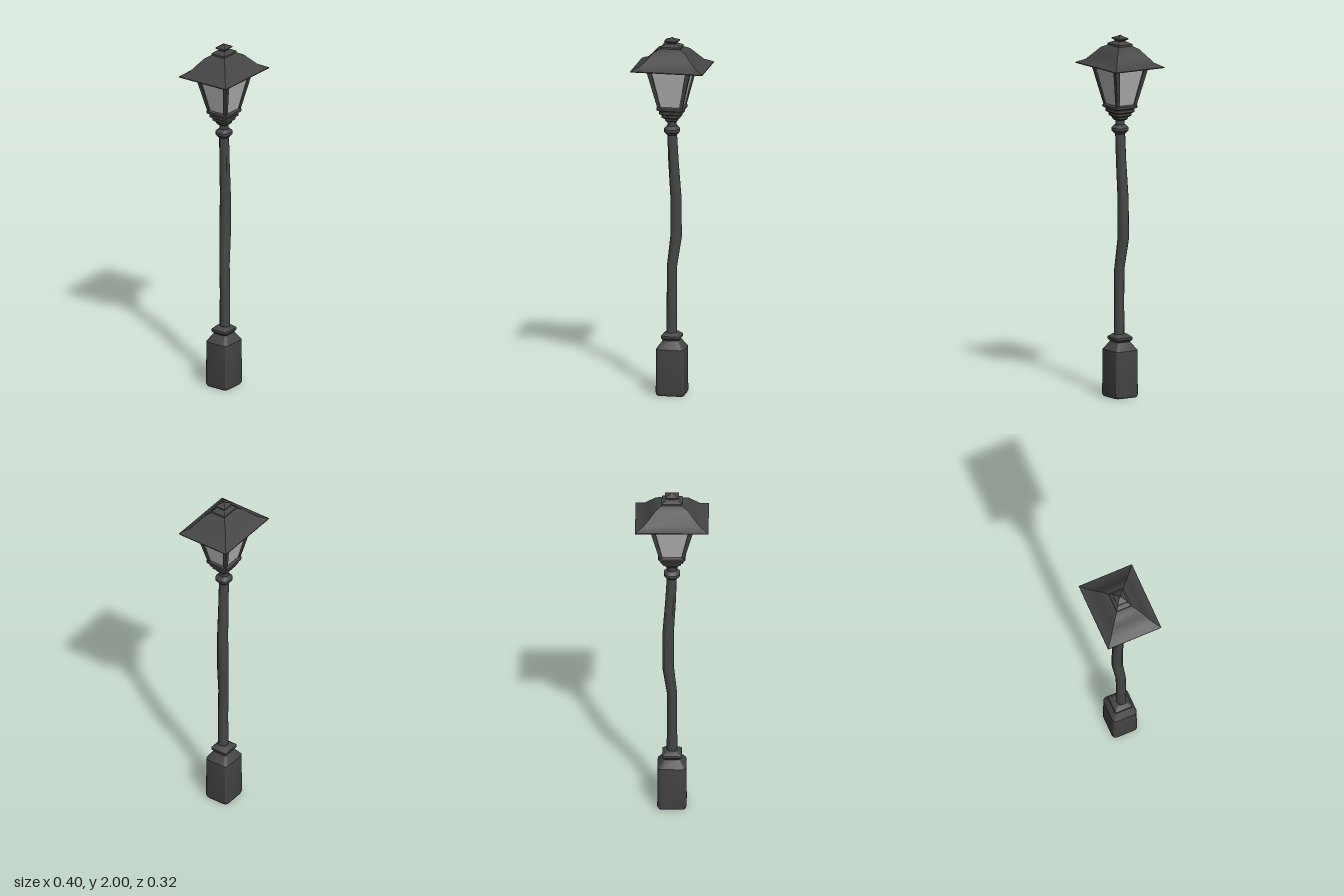
import * as THREE from 'three';
import { toCreasedNormals } from 'three/addons/utils/BufferGeometryUtils.js';

// One horizontal cross-section: a rectangle with corners rounded by a fraction of its half size
function section([y, hx, hz = hx, cx = 0, cz = 0], round, segs) {
  const r = Math.min(hx, hz) * round;
  const points = [];
  [[1, -1], [-1, -1], [-1, 1], [1, 1]].forEach(([sx, sz], corner) => {
    for (let i = 0; i <= segs; i++) {
      const a = (corner + (segs ? i / segs : 0.5)) * Math.PI / 2;
      points.push([
        cx + sx * (hx - r) + Math.cos(a) * r, y,
        cz + sz * (hz - r) - Math.sin(a) * r
      ]);
    }
  });
  return points;
}

// Skin a stack of sections [y, halfX, halfZ, centreX, centreZ] from bottom to top
function loft(sections, { round = 0, segs = round ? 3 : 0, crease = 0.5, openBottom = false } = {}) {
  const rings = sections.map(s => section(s, round, segs));
  const n = rings[0].length;
  const pos = [], index = [];
  rings.forEach(ring => ring.forEach(p => pos.push(...p)));
  for (let k = 0; k < rings.length - 1; k++) {
    for (let i = 0; i < n; i++) {
      const a = k * n + i, b = k * n + (i + 1) % n;
      index.push(a, b, b + n, a, b + n, a + n);
    }
  }
  const cap = (s, start, up) => {
    const c = pos.length / 3;
    pos.push(s[3] || 0, s[0], s[4] || 0);
    for (let i = 0; i < n; i++) {
      const a = start + i, b = start + (i + 1) % n;
      index.push(c, ...(up ? [a, b] : [b, a]));
    }
  };
  if (!openBottom) cap(sections[0], 0, false);
  cap(sections[sections.length - 1], (rings.length - 1) * n, true);
  const g = new THREE.BufferGeometry();
  g.setAttribute('position', new THREE.Float32BufferAttribute(pos, 3));
  g.setIndex(index);
  return toCreasedNormals(g, crease);
}

export function createModel() {
  const iron = new THREE.MeshStandardMaterial({ color: 0x454545, side: THREE.DoubleSide });
  iron.name = 'dark iron';
  const glass = new THREE.MeshStandardMaterial({ color: 0xb8b8b8 });
  glass.name = 'frosted glass';

  const model = new THREE.Group();
  model.name = 'streetLamp';
  const add = (name, geometry, material = iron, parent = model) => {
    const mesh = new THREE.Mesh(geometry, material);
    mesh.name = name;
    parent.add(mesh);
    return mesh;
  };

  // Pedestal with bevelled foot and sloping shoulder
  add('pedestal', loft([
    [0, 0.074, 0.068], [0.014, 0.08, 0.074], [0.26, 0.078, 0.072], [0.305, 0.045, 0.042]
  ], { round: 0.3, openBottom: true }));
  add('pedestalCollar', loft([
    [0.3, 0.036], [0.318, 0.053, 0.05], [0.33, 0.053, 0.05], [0.348, 0.03]
  ], { round: 0.15 }));

  // Bent round pole
  add('pole', loft([
    [0.335, 0.029, 0.028, 0, 0.006],
    [0.55, 0.028, 0.028, 0, 0.006],
    [0.71, 0.028, 0.028, 0, 0.004],
    [0.88, 0.032, 0.031, 0.021, -0.008],
    [1.1, 0.031, 0.029, 0.021, -0.006],
    [1.3, 0.029, 0.027, 0.008, -0.002],
    [1.48, 0.027, 0.027, 0, 0]
  ], { round: 1 }));

  // Ring and neck under the lantern
  add('neckRing', loft([
    [1.455, 0.028], [1.473, 0.044], [1.488, 0.044], [1.506, 0.026]
  ], { round: 0.8 }));
  add('neck', loft([[1.5, 0.025], [1.55, 0.025]], { round: 1 }));

  // Stepped lantern cup
  const lantern = new THREE.Group();
  lantern.name = 'lantern';
  model.add(lantern);
  [[1.53, 0.034], [1.549, 0.05], [1.57, 0.063], [1.593, 0.075]].forEach(([y, h], i) => {
    add('cupStep' + (i + 1), loft([
      [y, h * 0.8, h * 0.77], [y + 0.008, h, h * 0.96],
      [y + 0.02, h, h * 0.96], [y + 0.026, h * 0.88, h * 0.85]
    ], { round: 0.25, segs: 2 }), iron, lantern);
  });

  // Tapered glass body
  add('glass', loft([[1.61, 0.062, 0.056], [1.84, 0.115, 0.1]]), glass, lantern);

  // Corner posts leaning outward
  for (const sx of [-1, 1]) for (const sz of [-1, 1]) {
    add('cornerPost', loft([
      [1.61, 0.009, 0.009, sx * 0.059, sz * 0.053],
      [1.84, 0.013, 0.013, sx * 0.111, sz * 0.096]
    ]), iron, lantern);
  }

  // Flared roof with closed underside
  add('roof', loft([
    [1.845, 0.1, 0.085], [1.831, 0.2, 0.158], [1.836, 0.2, 0.158],
    [1.857, 0.154, 0.121], [1.893, 0.118, 0.095], [1.927, 0.087, 0.068], [1.944, 0.052, 0.042]
  ]), iron, lantern);

  // Cap and pyramid finial
  add('roofCap', loft([
    [1.938, 0.056, 0.044], [1.952, 0.056, 0.044], [1.957, 0.048, 0.037], [1.966, 0.026, 0.021]
  ]), iron, lantern);
  add('finial', loft([
    [1.96, 0.02, 0.017], [1.971, 0.024, 0.02], [1.978, 0.038, 0.031],
    [1.983, 0.038, 0.031], [1.995, 0.009, 0.008], [2, 0.003, 0.003]
  ]), iron, lantern);

  return model;
}
